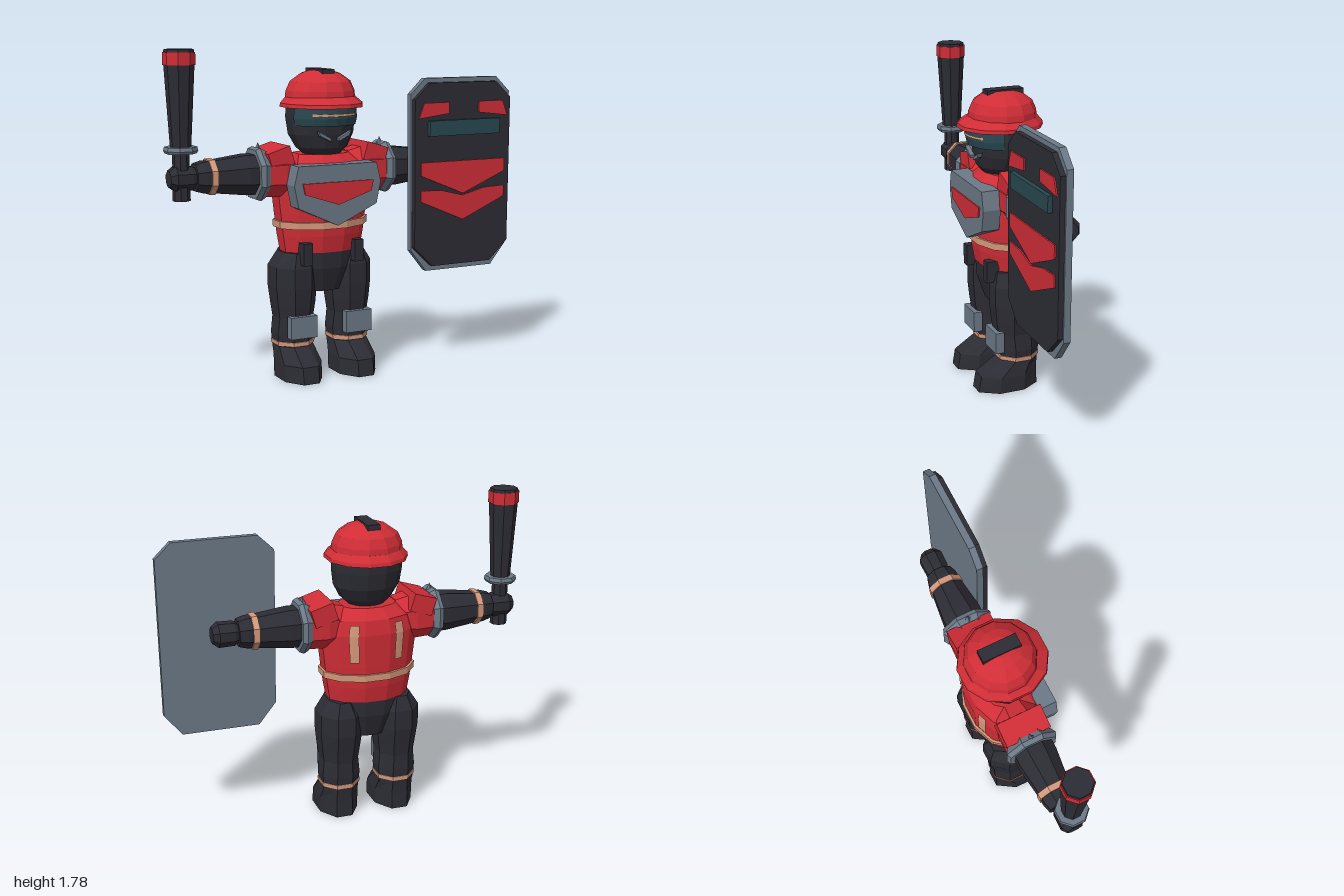
import * as THREE from 'three';

const mat = (name, color) => {
  const m = new THREE.MeshStandardMaterial({ color });
  m.name = name;
  return m;
};

// Faceted loft through rings [y, rx, rz, cz]; an angle range gives an open strip
function loft(rings, sides = 8, from = null, to = 0) {
  const open = from !== null;
  const k = open ? 1 : 1 / Math.cos(Math.PI / sides);
  const point = ([y, rx, rz = rx, cz = 0], i) => {
    const a = open ? from + (to - from) * i / sides : (i + 0.5) / sides * Math.PI * 2;
    return [rx * k * Math.cos(a), y, cz + rz * k * Math.sin(a)];
  };
  const pos = [];
  const tri = (...pts) => pts.forEach(p => pos.push(...p));
  const last = rings[rings.length - 1], first = rings[0];
  for (let i = 0; i < sides; i++) {
    for (let j = 0; j < rings.length - 1; j++) {
      const a = point(rings[j], i), b = point(rings[j + 1], i);
      const c = point(rings[j], i + 1), d = point(rings[j + 1], i + 1);
      tri(a, b, c);
      tri(c, b, d);
    }
    if (!open) {
      tri([0, last[0], last[3] || 0], point(last, i + 1), point(last, i));
      tri([0, first[0], first[3] || 0], point(first, i), point(first, i + 1));
    }
  }
  const g = new THREE.BufferGeometry();
  g.setAttribute('position', new THREE.Float32BufferAttribute(pos, 3));
  g.computeVertexNormals();
  return g;
}

// Flat outline in the front plane, extruded forward from z
function plate(points, depth, z) {
  const shape = new THREE.Shape(points.map(p => new THREE.Vector2(...p)));
  return new THREE.ExtrudeGeometry(shape, { depth, bevelEnabled: false }).translate(0, 0, z);
}

// Completes an outline symmetric about x = cx from its right half
const sym = (half, cx = 0) => [
  ...half.map(([x, y]) => [cx + x, y]),
  ...half.slice().reverse().filter(p => p[0] !== 0).map(([x, y]) => [cx - x, y]),
];

export function createModel() {
  const red = mat('red', 0xd02d36);
  const dark = mat('charcoal', 0x2c2c34);
  const grey = mat('steel grey', 0x6c7987);
  const teal = mat('dark teal', 0x28484f);
  const tan = mat('tan', 0xd4987a);

  const model = new THREE.Group();
  model.name = 'shieldGuard';
  const body = new THREE.Group();
  body.name = 'body';
  body.position.x = -0.12;
  model.add(body);
  const add = (parent, name, geometry, material, x = 0, y = 0, z = 0) => {
    const m = new THREE.Mesh(geometry, material);
    m.name = name;
    m.position.set(x, y, z);
    parent.add(m);
    return m;
  };

  // Torso, belt and pelvis
  add(body, 'torso', loft([
    [0.69, 0.225, 0.15], [0.78, 0.24, 0.165], [0.9, 0.255, 0.172],
    [1.08, 0.275, 0.178], [1.16, 0.25, 0.165], [1.215, 0.16, 0.115],
  ], 12), red, 0, 0, -0.02);
  add(body, 'belt', loft([[0.822, 0.26, 0.183], [0.86, 0.263, 0.183]], 12), tan, 0, 0, -0.02);
  add(body, 'pelvis', loft([
    [0.47, 0.12, 0.1], [0.6, 0.2, 0.14], [0.7, 0.223, 0.146],
  ], 12), dark, 0, 0, -0.02);

  // Chest armour
  add(body, 'chestPlate', plate(sym([
    [0, 0.845], [0.23, 0.95], [0.255, 1.07], [0.23, 1.172],
  ]), 0.1, 0.1), grey);
  add(body, 'chestPanel', plate(sym([
    [0, 0.958], [0.195, 1.022], [0.208, 1.08],
  ]), 0.008, 0.2), red);

  // Head and face
  add(body, 'head', loft([
    [1.2, 0.085, 0.085, 0], [1.25, 0.14, 0.125, 0], [1.32, 0.176, 0.152, -0.01],
    [1.41, 0.187, 0.165, -0.015], [1.5, 0.18, 0.165, -0.02],
  ], 12), dark);
  add(body, 'visor', loft([
    [1.37, 0.185, 0.178], [1.41, 0.193, 0.188], [1.465, 0.188, 0.185],
  ], 8, 0.25, Math.PI - 0.25), teal);
  add(body, 'visorStrip', loft([
    [1.422, 0.196, 0.194], [1.436, 0.196, 0.194],
  ], 6, 0.87, Math.PI - 0.87), tan);

  // Helmet
  const helmet = new THREE.Group();
  helmet.name = 'helmet';
  body.add(helmet);
  add(helmet, 'helmetDome', loft([
    [1.48, 0.19, 0.185], [1.55, 0.182, 0.178], [1.6, 0.16, 0.157],
    [1.64, 0.105, 0.105], [1.657, 0.055, 0.06],
  ], 12), red, 0, 0, -0.015);
  add(helmet, 'helmetBrim', loft([
    [1.465, 0.218, 0.23], [1.485, 0.216, 0.226], [1.52, 0.182, 0.182, -0.015],
  ], 12), red);
  add(helmet, 'helmetRidge', new THREE.BoxGeometry(0.07, 0.03, 0.21), dark, 0, 1.65, -0.02);

  for (const s of [1, -1]) {
    const side = s > 0 ? 'left' : 'right';
    const limb = name => {
      const g = new THREE.Group();
      g.name = side + name;
      body.add(g);
      return g;
    };

    // Mask vent, back strap and belt pouch
    const vent = [[0.022, 1.305], [0.025, 1.29], [0.085, 1.32], [0.095, 1.345]];
    const outline = vent.map(([x, y]) => [x * s, y]);
    add(body, side + 'MaskVent', plate(outline, 0.025, 0.14), grey);
    const strapAngle = -Math.PI / 2 + s * 0.48;
    add(body, side + 'BackStrap', loft([
      [0.93, 0.27, 0.184], [1.08, 0.285, 0.187], [1.14, 0.269, 0.18],
    ], 2, strapAngle - 0.1, strapAngle + 0.1), tan, 0, 0, -0.02);
    add(body, side + 'Pouch', new THREE.BoxGeometry(0.052, 0.12, 0.07), dark, s * 0.152, 0.69, 0.115);

    // Leg, knee pad, ankle band and boot
    const leg = limb('Leg');
    leg.position.x = s * 0.165;
    add(leg, 'leg', loft([
      [0.15, 0.1, 0.105, -0.03], [0.24, 0.108, 0.115, -0.03], [0.33, 0.1, 0.12, -0.025],
      [0.4, 0.11, 0.13, -0.025], [0.5, 0.12, 0.145, -0.03], [0.61, 0.12, 0.145, -0.03],
      [0.69, 0.07, 0.12, -0.025],
    ]), dark);
    add(leg, 'kneePad', new THREE.BoxGeometry(0.155, 0.12, 0.05), grey, 0, 0.29, 0.1);
    add(leg, 'ankleBand', loft([[0.177, 0.107, 0.115], [0.2, 0.109, 0.115]]), tan, 0, 0, -0.028);
    add(leg, 'boot', loft([
      [0, 0.11, 0.175, 0.04], [0.09, 0.111, 0.166, 0.034], [0.175, 0.1, 0.106, -0.03],
    ]), dark);

    // Arm stretched sideways: shoulder, cuff, band and hand
    const arm = limb('Arm');
    arm.position.set(0, 1.12, -0.02);
    const along = rings => loft(rings).rotateZ(-s * Math.PI / 2);
    add(arm, 'shoulder', along([[0.15, 0.1], [0.25, 0.125], [0.36, 0.12]]), red);
    const pad = add(arm, 'shoulderPad', new THREE.BoxGeometry(0.13, 0.1, 0.25), red, s * 0.28, 0.085, -0.005);
    pad.rotation.z = -s * 0.3;
    add(arm, 'cuff', along([[0.345, 0.125], [0.375, 0.14], [0.4, 0.13]]), grey);
    add(arm, 'cuffTip', new THREE.ConeGeometry(0.03, 0.06, 4).toNonIndexed(), grey, s * 0.365, 0.135, 0);
    add(arm, 'forearm', along([
      [0.36, 0.105], [0.45, 0.105], [0.62, 0.085], [0.68, 0.082], [0.725, 0.07],
    ]), dark);
    add(arm, 'wristBand', along([[0.622, 0.092], [0.655, 0.09]]), tan);
    add(arm, 'hand', along([
      [0.71, 0.045], [0.745, 0.062], [0.83, 0.064], [0.862, 0.042],
    ]), dark);
  }

  // Baton held upright in the right hand
  const baton = new THREE.Group();
  baton.name = 'baton';
  baton.position.set(-0.915, 0, -0.015);
  model.add(baton);
  add(baton, 'batonHandle', loft([[1.005, 0.043], [1.26, 0.04]]), dark);
  add(baton, 'batonGuard', loft([[1.25, 0.075], [1.265, 0.083], [1.285, 0.078]]), grey);
  add(baton, 'batonShaft', loft([[1.28, 0.05], [1.71, 0.073]]), dark);
  add(baton, 'batonBand', loft([[1.7, 0.077], [1.765, 0.077]]), red);
  add(baton, 'batonCap', loft([[1.76, 0.073], [1.78, 0.07]]), dark);

  // Shield in front of the left hand
  const shield = new THREE.Group();
  shield.name = 'shield';
  shield.position.x = 0.68;
  model.add(shield);
  add(shield, 'shieldFrame', plate(sym([
    [0.215, 0.53], [0.312, 0.65], [0.32, 1.52], [0.232, 1.605],
  ]), 0.037, 0.093), grey);
  add(shield, 'shieldPanel', plate(sym([
    [0.19, 0.56], [0.305, 0.67], [0.31, 1.49], [0.215, 1.58],
  ]), 0.028, 0.13), dark);
  add(shield, 'shieldWindow', new THREE.BoxGeometry(0.455, 0.085, 0.03), teal, 0, 1.332, 0.167);
  add(shield, 'upperChevron', plate(sym([
    [0, 0.96], [0.272, 1.072], [0.272, 1.145],
  ]), 0.008, 0.158), red);
  add(shield, 'lowerChevron', plate(sym([
    [0, 0.812], [0.272, 0.928], [0.272, 0.99], [0.14, 0.985], [0, 0.95],
  ]), 0.008, 0.158), red);
  for (const s of [1, -1]) {
    const mark = [[0.097, 1.41], [0.288, 1.387], [0.255, 1.472], [0.097, 1.472]];
    add(shield, 'cornerMark', plate(mark.map(([x, y]) => [x * s, y]), 0.008, 0.158), red);
  }

  return model;
}
